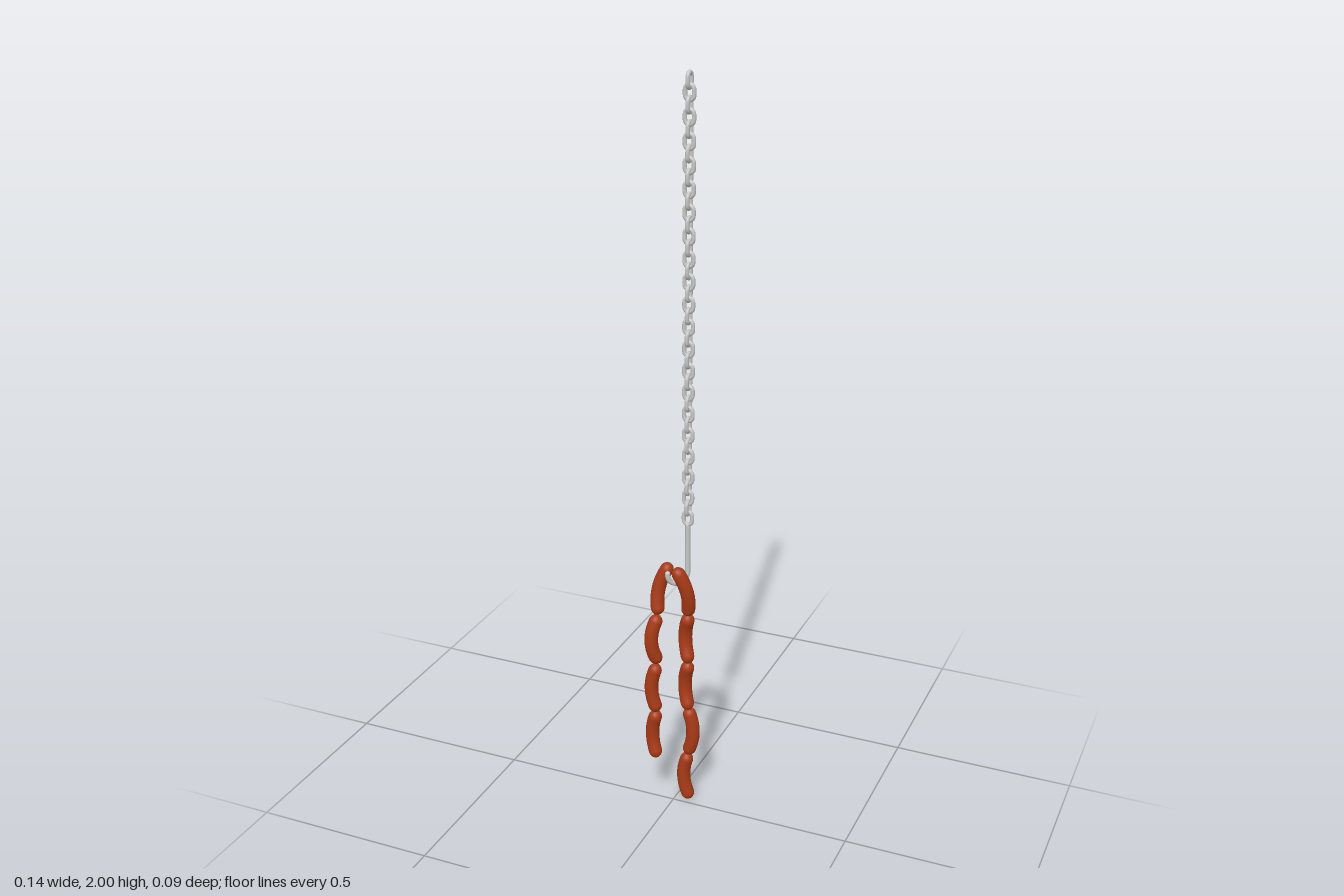
import * as THREE from 'three';

const steel = new THREE.MeshStandardMaterial({ color: 0xc6c7c6 });
steel.name = 'steel';
const meat = new THREE.MeshStandardMaterial({ color: 0xa83a17 });
meat.name = 'sausageSkin';

const CHAIN_X = 0.03, CHAIN_Z = -0.026;

// Closed oval link lying in the xy plane
function linkGeometry(wire, halfWidth, halfHeight) {
  const pts = [];
  const straight = halfHeight - halfWidth;
  for (let i = 0; i < 20; i++) {
    const a = (i + 0.5) / 20 * Math.PI * 2;
    pts.push(new THREE.Vector3(
      Math.cos(a) * halfWidth,
      Math.sin(a) * halfWidth + Math.sign(Math.sin(a)) * straight, 0));
  }
  return new THREE.TubeGeometry(new THREE.CatmullRomCurve3(pts, true), 28, wire, 10, true);
}

function makeChain() {
  const chain = new THREE.Group();
  chain.name = 'chain';
  const geometry = linkGeometry(0.0054, 0.0114, 0.0182);
  for (let i = 0; i < 40; i++) {
    const link = new THREE.Mesh(geometry, steel);
    link.name = 'chainLink';
    link.position.set(CHAIN_X, 1.9764 - i * 0.0288, CHAIN_Z);
    if (i % 2 === 0) link.rotation.y = Math.PI / 2;
    chain.add(link);
  }
  return chain;
}

// Straight shank, half-circle bend and short upturned tip
function makeHook() {
  const hook = new THREE.Group();
  hook.name = 'hook';
  const r = 0.029, wire = 0.007, bendY = 0.7, tipY = 0.704;
  const path = new THREE.CurvePath();
  const v = (x, y) => new THREE.Vector3(x, y, 0);
  path.add(new THREE.LineCurve3(v(0, 0.832), v(0, bendY)));
  const arc = [];
  for (let i = 0; i <= 12; i++) {
    const a = i / 12 * Math.PI;
    arc.push(v(r - Math.cos(a) * r, bendY - Math.sin(a) * r));
  }
  path.add(new THREE.CatmullRomCurve3(arc));
  path.add(new THREE.LineCurve3(v(2 * r, bendY), v(2 * r, tipY)));
  const bar = new THREE.Mesh(new THREE.TubeGeometry(path, 60, wire, 12), steel);
  bar.name = 'hookBar';
  hook.add(bar);
  for (const [x, y] of [[0, 0.832], [2 * r, tipY]]) {
    const end = new THREE.Mesh(new THREE.SphereGeometry(wire, 12, 8), steel);
    end.name = 'hookEnd';
    end.position.set(x, y, 0);
    hook.add(end);
  }
  // The tip points towards the front and the model's right
  hook.position.set(CHAIN_X, 0, CHAIN_Z);
  hook.rotation.y = Math.atan2(-0.045, -0.04);
  return hook;
}

// Capsule bent along a parabola from bottom to top, bulging by bow = [x, z]
function makeSausage(bottom, top, bow) {
  const a = new THREE.Vector3(...bottom), b = new THREE.Vector3(...top);
  const radius = 0.0184, length = a.distanceTo(b);
  const geometry = new THREE.CapsuleGeometry(radius, length - 2 * radius, 8, 18, 12);
  const up = new THREE.Vector3(0, 1, 0), q = new THREE.Quaternion();
  const bend = new THREE.Vector3(bow[0], 0, bow[1]);
  const p = new THREE.Vector3(), c = new THREE.Vector3(), tangent = new THREE.Vector3();
  const pos = geometry.attributes.position;
  for (let i = 0; i < pos.count; i++) {
    p.fromBufferAttribute(pos, i);
    const t = p.y / length + 0.5;
    c.lerpVectors(a, b, t).addScaledVector(bend, 4 * t * (1 - t));
    tangent.subVectors(b, a).addScaledVector(bend, 4 - 8 * t).normalize();
    q.setFromUnitVectors(up, tangent);
    p.setY(0).applyQuaternion(q).add(c);
    pos.setXYZ(i, p.x, p.y, p.z);
  }
  geometry.computeVertexNormals();
  const mesh = new THREE.Mesh(geometry, meat);
  mesh.name = 'sausage';
  return mesh;
}

function makeStrand(name, sausages) {
  const strand = new THREE.Group();
  strand.name = name;
  for (const s of sausages) strand.add(makeSausage(...s));
  return strand;
}

export function createModel() {
  const model = new THREE.Group();
  model.name = 'hangingSausages';
  model.add(makeChain(), makeHook());

  // Each entry: bottom tip, top tip, sideways bulge (x, z)
  model.add(makeStrand('leftStrand', [
    [[0.034, 0.579, -0.014], [0.01, 0.722, 0.014], [0.018, 0.002]],
    [[0.041, 0.432, -0.012], [0.041, 0.575, -0.012], [-0.018, -0.016]],
    [[0.041, 0.288, -0.013], [0.041, 0.431, -0.013], [-0.018, -0.014]],
    [[0.031, 0.144, -0.022], [0.031, 0.287, -0.022], [0.018, 0]],
    [[0.042, 0, -0.022], [0.038, 0.143, -0.022], [-0.018, 0]],
  ]));
  model.add(makeStrand('rightStrand', [
    [[-0.034, 0.579, 0.018], [-0.01, 0.722, -0.006], [-0.018, -0.002]],
    [[-0.036, 0.432, 0.013], [-0.036, 0.575, 0.013], [-0.016, 0.015]],
    [[-0.034, 0.288, 0.026], [-0.034, 0.431, 0.026], [-0.018, 0.002]],
    [[-0.034, 0.144, 0.03], [-0.034, 0.287, 0.03], [-0.018, -0.008]],
  ]));
  return model;
}
